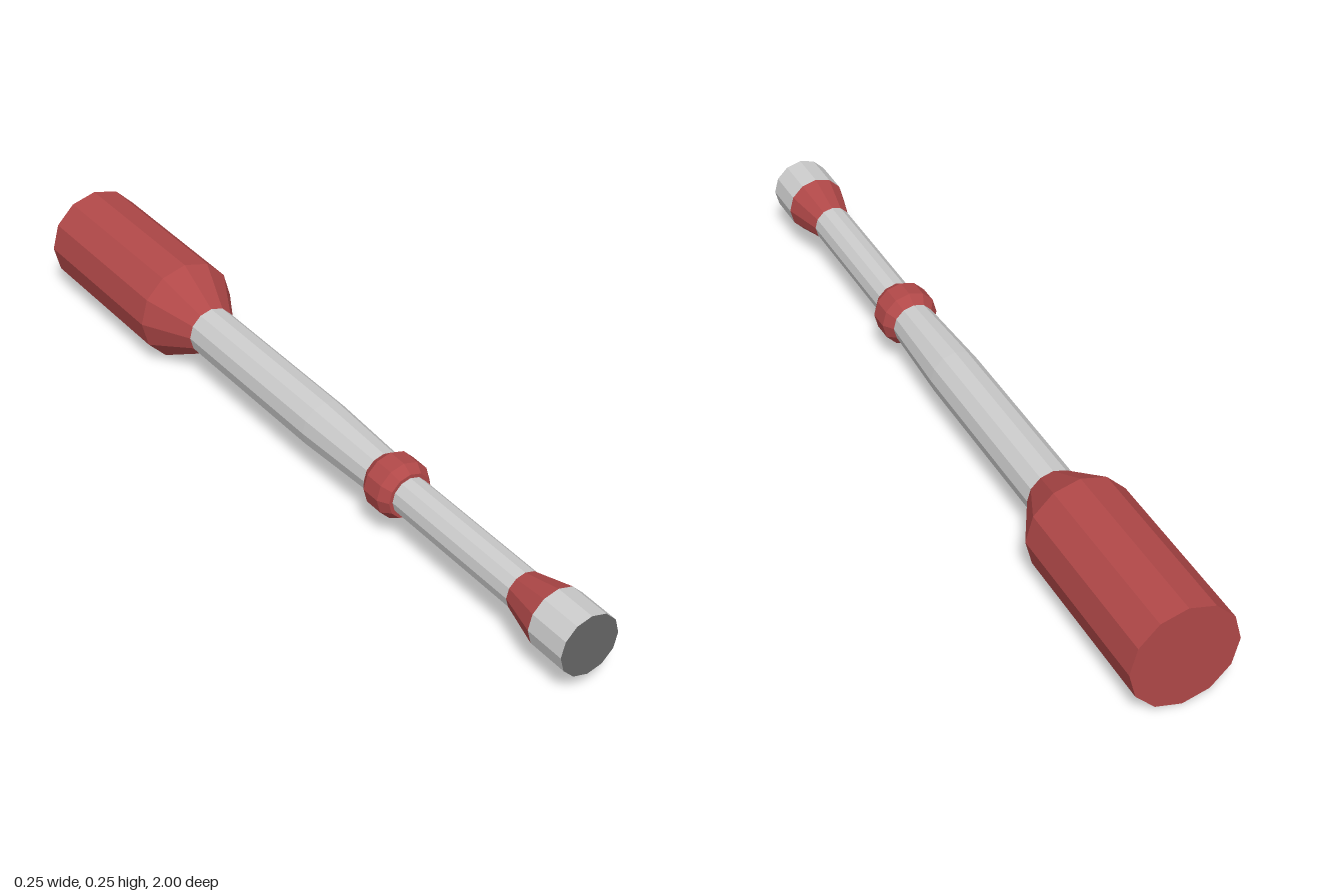
import * as THREE from 'three';

const SIDES = 12;
const AXIS_Y = 0.127;

const material = (color) => new THREE.MeshStandardMaterial({ color, flatShading: true });

export function createModel() {
  const model = new THREE.Group();
  const grey = material(0xcccccc);
  const red = material(0xb04848);
  const dark = material(0x666666);

  // Faceted part turned about the z axis; profile is [radius, z] from back to front
  const turned = (name, mat, profile) => {
    const points = profile.map(([r, z]) => new THREE.Vector2(r, z));
    const geometry = new THREE.LatheGeometry(points, SIDES).rotateX(Math.PI / 2);
    const mesh = new THREE.Mesh(geometry, mat);
    mesh.name = name;
    mesh.position.y = AXIS_Y;
    model.add(mesh);
  };

  // Thick grip with a closed back and a cone down to the shaft
  turned('grip', red, [[0, -1], [0.127, -1], [0.127, -0.55], [0.062, -0.43]]);

  // Shaft: straight, then tapering towards the collar
  turned('rearShaft', grey, [[0.062, -0.43], [0.062, 0.06], [0.053, 0.29]]);

  // Bevelled collar between the two shaft sections
  turned('collar', red, [[0.053, 0.29], [0.071, 0.315], [0.071, 0.365], [0.056, 0.39], [0.047, 0.39]]);

  turned('frontShaft', grey, [[0.047, 0.39], [0.047, 0.79]]);

  // Flared neck leading to the tip
  turned('neck', red, [[0.047, 0.79], [0.074, 0.895]]);
  turned('tip', grey, [[0.074, 0.895], [0.074, 1]]);
  turned('tipFace', dark, [[0.074, 1], [0, 1]]);

  return model;
}
